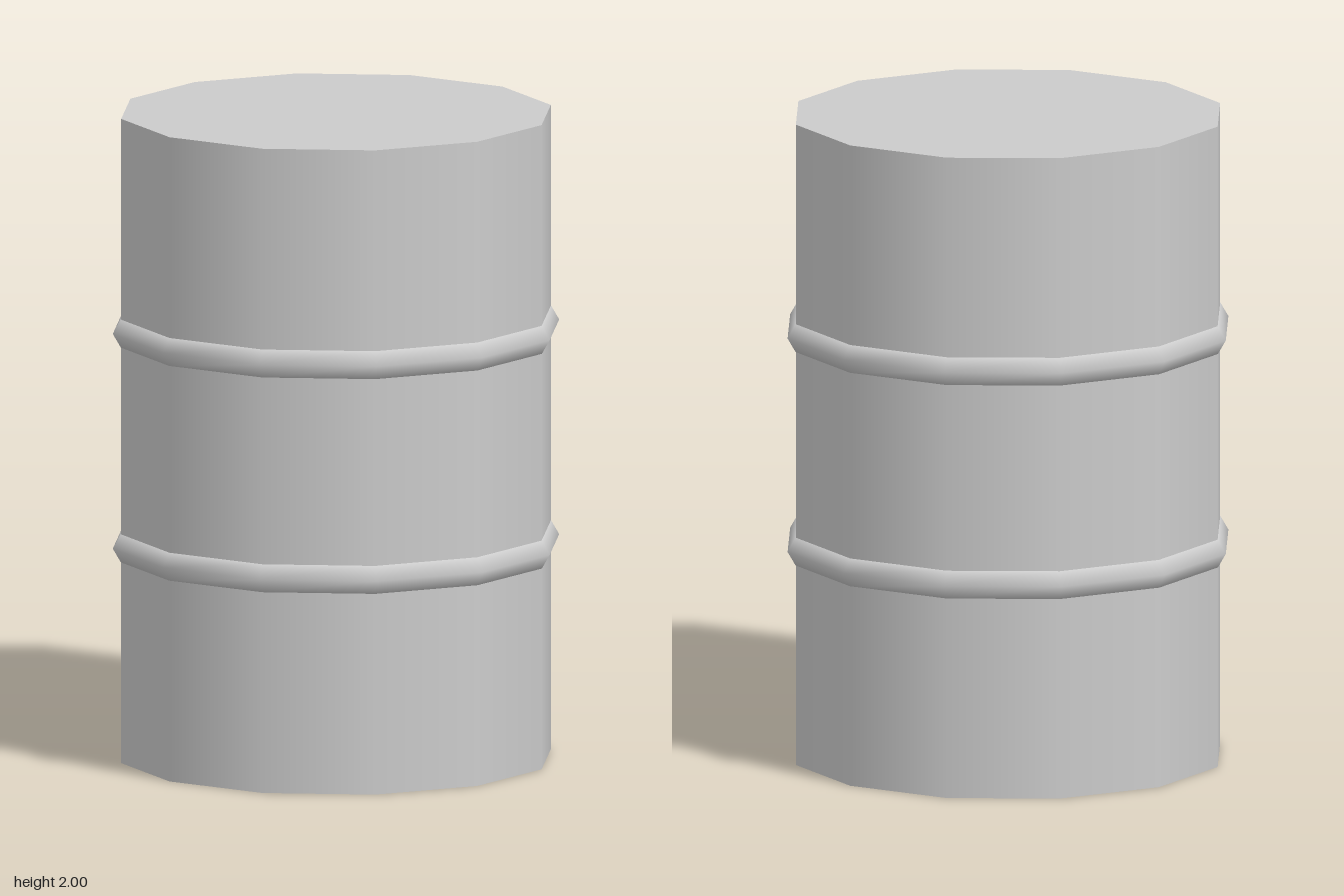
import * as THREE from 'three';

const SIDES = 12;
const HEIGHT = 2;
const RADIUS = 0.667;

export function createModel() {
  const model = new THREE.Group();
  model.name = 'barrel';
  const material = new THREE.MeshStandardMaterial({ color: 0xcccccc });

  // Twelve-sided drum with flat, closed ends
  const drum = new THREE.Mesh(new THREE.CylinderGeometry(RADIUS, RADIUS, HEIGHT, SIDES), material);
  drum.name = 'drum';
  drum.position.y = HEIGHT / 2;
  model.add(drum);

  // Two hoops of six-sided section, half sunk into the wall at each third of the height
  const hoopGeometry = new THREE.TorusGeometry(0.643, 0.05, 6, SIDES).rotateX(Math.PI / 2);
  ['lowerHoop', 'upperHoop'].forEach((name, i) => {
    const hoop = new THREE.Mesh(hoopGeometry, material);
    hoop.name = name;
    hoop.position.y = (HEIGHT * (i + 1)) / 3;
    model.add(hoop);
  });

  return model;
}
